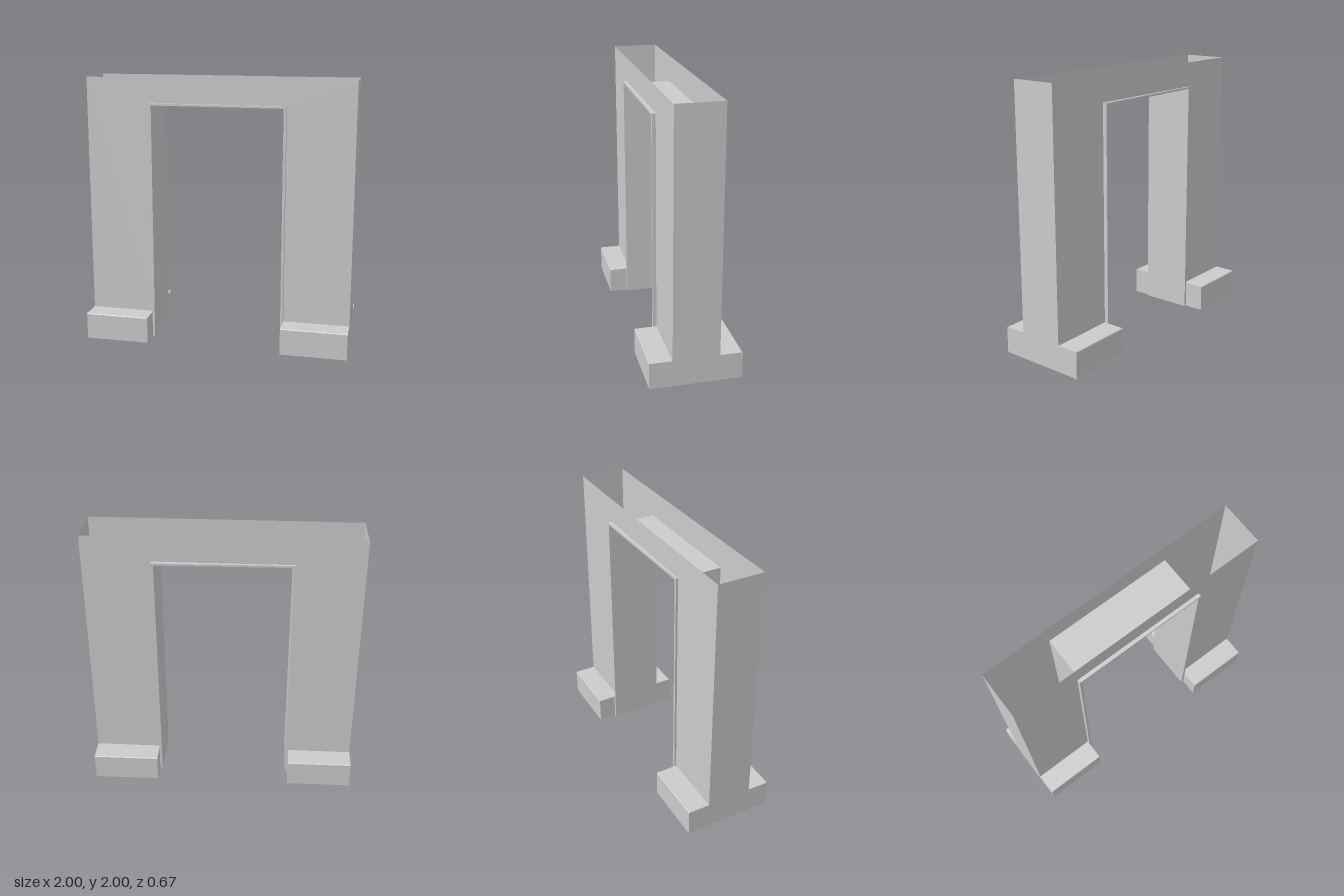
import * as THREE from 'three';

const material = new THREE.MeshStandardMaterial({ color: 0xcccccc, side: THREE.DoubleSide, flatShading: true });

const WALL_Z = 0.17, FOOT_Z = 0.335, FOOT_Y = 0.2, TOP = 2;
// Outer outline of the opening, and the clear passage inside its trim
const HOLE = { left: -0.515, right: 0.505, top: 1.815 };
const CLEAR = { left: -0.497, right: 0.485, top: 1.8 };

function addMesh(parent, name, geometry) {
  const mesh = new THREE.Mesh(geometry, material);
  mesh.name = name;
  parent.add(mesh);
  return mesh;
}

// Flat-faced open sheet: a run of 3D points swept along an offset
function sweptSheet(points, offset) {
  const positions = [];
  for (let i = 0; i < points.length - 1; i++) {
    const a = points[i], b = points[i + 1];
    const c = b.clone().add(offset), d = a.clone().add(offset);
    for (const p of [a, b, c, a, c, d]) positions.push(p.x, p.y, p.z);
  }
  const geometry = new THREE.BufferGeometry();
  geometry.setAttribute('position', new THREE.Float32BufferAttribute(positions, 3));
  geometry.computeVertexNormals();
  return geometry;
}

const polygon = (pairs) => new THREE.Shape(pairs.map(([x, y]) => new THREE.Vector2(x, y)));

// Outline of an arch leg-lintel-leg band between an inner opening and outer limits
const archShape = (outer, inner, y0) => polygon([
  [outer.left, y0], [inner.left, y0], [inner.left, inner.top], [inner.right, inner.top],
  [inner.right, y0], [outer.right, y0], [outer.right, outer.top], [outer.left, outer.top],
]);

export function createModel() {
  const gate = new THREE.Group();
  gate.name = 'gateway';

  // Thin front and back walls, stopping at the ledges of the feet
  const wallShape = archShape({ left: -1, right: 1, top: TOP }, HOLE, FOOT_Y);
  for (const s of [1, -1]) {
    addMesh(gate, s > 0 ? 'frontWall' : 'backWall', new THREE.ShapeGeometry(wallShape)).position.z = s * WALL_Z;
  }

  // Outer side walls, including the ends of the feet
  const sideShape = polygon([
    [-FOOT_Z, 0], [FOOT_Z, 0], [FOOT_Z, FOOT_Y], [WALL_Z, FOOT_Y],
    [WALL_Z, TOP], [-WALL_Z, TOP], [-WALL_Z, FOOT_Y], [-FOOT_Z, FOOT_Y],
  ]);
  for (const s of [1, -1]) {
    const side = addMesh(gate, s > 0 ? 'leftSideWall' : 'rightSideWall', new THREE.ShapeGeometry(sideShape));
    side.rotation.y = s * Math.PI / 2;
    side.position.x = s;
  }

  // Feet: open underneath, with a ledge, a fine bevel, an outer face and an inner end
  for (const [label, x0, x1] of [['right', -1, HOLE.left], ['left', 1, HOLE.right]]) {
    for (const s of [1, -1]) {
      const foot = new THREE.Group();
      foot.name = `${label}${s > 0 ? 'Front' : 'Back'}Foot`;
      gate.add(foot);
      const profile = [[FOOT_Y, WALL_Z], [FOOT_Y, FOOT_Z - 0.005], [FOOT_Y - 0.005, FOOT_Z], [0, FOOT_Z]]
        .map(([y, z]) => new THREE.Vector3(x0, y, s * z));
      addMesh(foot, 'footLedge', sweptSheet(profile, new THREE.Vector3(x1 - x0, 0, 0)));
      const end = addMesh(foot, 'footEnd', new THREE.PlaneGeometry(FOOT_Z - WALL_Z, FOOT_Y));
      end.rotation.y = Math.PI / 2;
      end.position.set(x1, FOOT_Y / 2, s * (FOOT_Z + WALL_Z) / 2);
    }
  }

  // Passage lining: both jambs and the soffit
  const lining = [[CLEAR.left, 0], [CLEAR.left, CLEAR.top], [CLEAR.right, CLEAR.top], [CLEAR.right, 0]]
    .map(([x, y]) => new THREE.Vector3(x, y, -WALL_Z));
  addMesh(gate, 'passageLining', sweptSheet(lining, new THREE.Vector3(0, 0, 2 * WALL_Z)));

  // Raised trim round the opening; the back one thickens slightly towards +x
  const trimShape = archShape(HOLE, CLEAR, 0);
  for (const s of [1, -1]) {
    const geometry = new THREE.ExtrudeGeometry(trimShape, { depth: 0.027, bevelEnabled: false });
    geometry.translate(0, 0, s > 0 ? WALL_Z : -WALL_Z - 0.027);
    const p = geometry.attributes.position;
    for (let i = 0; i < p.count; i++) {
      if (p.getZ(i) < -WALL_Z - 0.01) p.setZ(i, -0.193 - 0.014 * p.getX(i));
    }
    geometry.computeVertexNormals();
    addMesh(gate, s > 0 ? 'frontTrim' : 'backTrim', geometry);
  }

  return gate;
}
